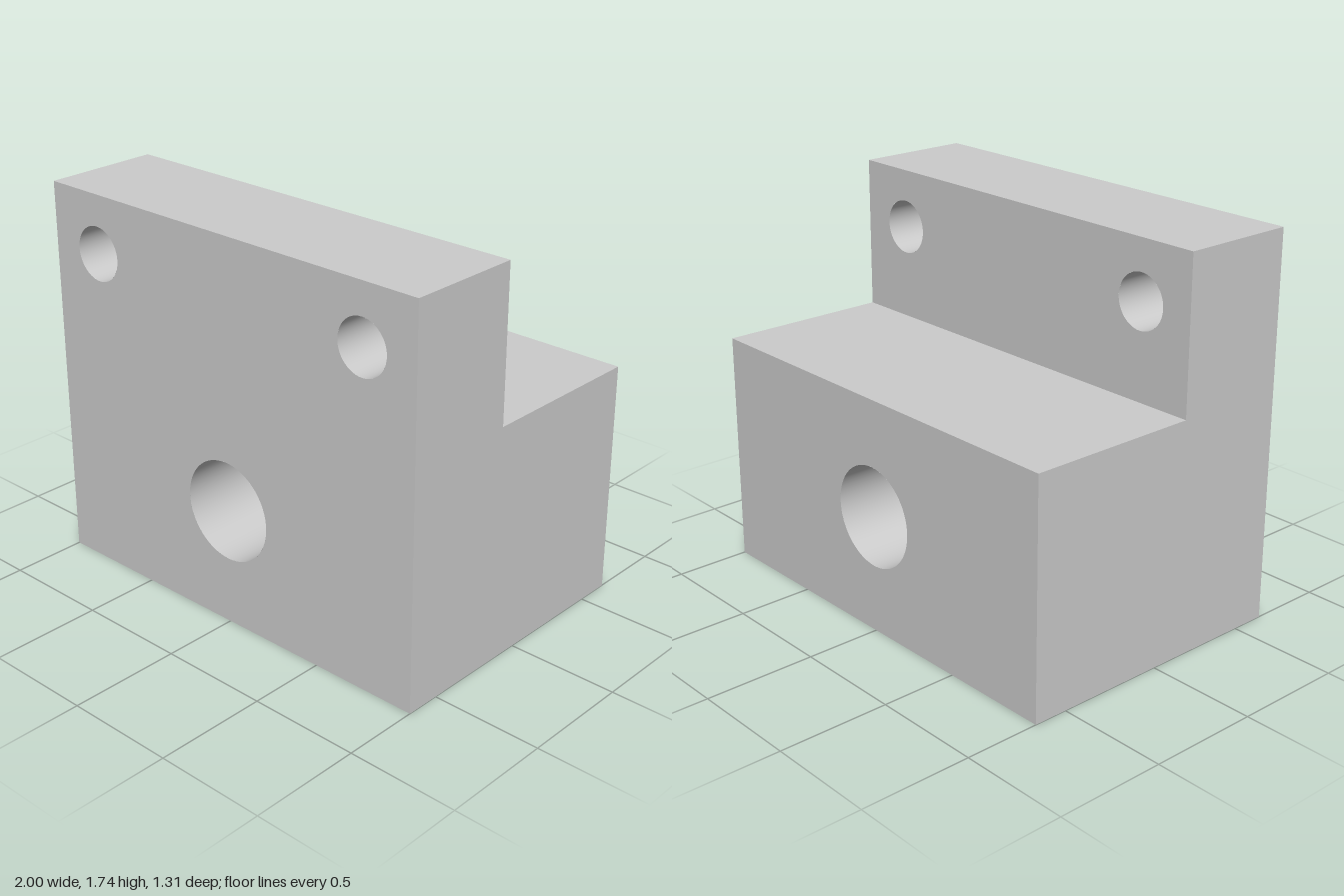
import * as THREE from 'three';

const W = 2, H = 1.74, LEDGE = 1.055;              // width, full height, ledge height
const FRONT = 0.657, BACK = -0.657, STEP = 0.13;   // z of the front, back and upright's rear
const SEG = 64;
const bore = { x: 0, y: 0.53, r: 0.225 };
const mounts = [-1, 1].map(s => ({ x: s * 0.736, y: 1.478, r: 0.121 }));

const material = new THREE.MeshStandardMaterial({ color: 0xcccccc });
const boreMaterial = new THREE.MeshStandardMaterial({ color: 0xcccccc, side: THREE.DoubleSide });

export function createModel() {
  const group = new THREE.Group();
  const add = (name, geometry, mat = material) => {
    const mesh = new THREE.Mesh(geometry, mat);
    mesh.name = name;
    group.add(mesh);
  };

  // Upright wall between two heights, pierced by round holes
  const wall = (y0, y1, holes) => {
    const shape = new THREE.Shape([[-W / 2, y0], [W / 2, y0], [W / 2, y1], [-W / 2, y1]]
      .map(p => new THREE.Vector2(...p)));
    for (const h of holes) shape.holes.push(new THREE.Path().absarc(h.x, h.y, h.r, 0, Math.PI * 2, true));
    return new THREE.ShapeGeometry(shape, SEG);
  };
  add('frontFace', wall(0, H, [bore, ...mounts]).translate(0, 0, FRONT));
  add('uprightRearFace', wall(LEDGE, H, mounts).rotateY(Math.PI).translate(0, 0, STEP));
  add('backFace', wall(0, LEDGE, [bore]).rotateY(Math.PI).translate(0, 0, BACK));

  // Level faces: upright top, ledge and underside
  const level = (y, z0, z1, dir) => new THREE.PlaneGeometry(W, z1 - z0)
    .rotateX(-dir * Math.PI / 2).translate(0, y, (z0 + z1) / 2);
  add('uprightTop', level(H, STEP, FRONT, 1));
  add('ledgeTop', level(LEDGE, BACK, STEP, 1));
  add('underside', level(0, BACK, FRONT, -1));

  // L-shaped ends
  for (const side of [-1, 1]) {
    const profile = [[FRONT, 0], [FRONT, H], [STEP, H], [STEP, LEDGE], [BACK, LEDGE], [BACK, 0]];
    const shape = new THREE.Shape(profile.map(([z, y]) => new THREE.Vector2(-side * z, y)));
    add(side > 0 ? 'leftEnd' : 'rightEnd',
      new THREE.ShapeGeometry(shape).rotateY(side * Math.PI / 2).translate(side * W / 2, 0, 0));
  }

  // Linings of the through holes
  const lining = (h, z0) => new THREE.CylinderGeometry(h.r, h.r, FRONT - z0, SEG, 1, true)
    .rotateX(Math.PI / 2).translate(h.x, h.y, (FRONT + z0) / 2);
  add('mainBore', lining(bore, BACK), boreMaterial);
  mounts.forEach((h, i) => add(i ? 'leftMountingHole' : 'rightMountingHole', lining(h, STEP), boreMaterial));

  return group;
}
